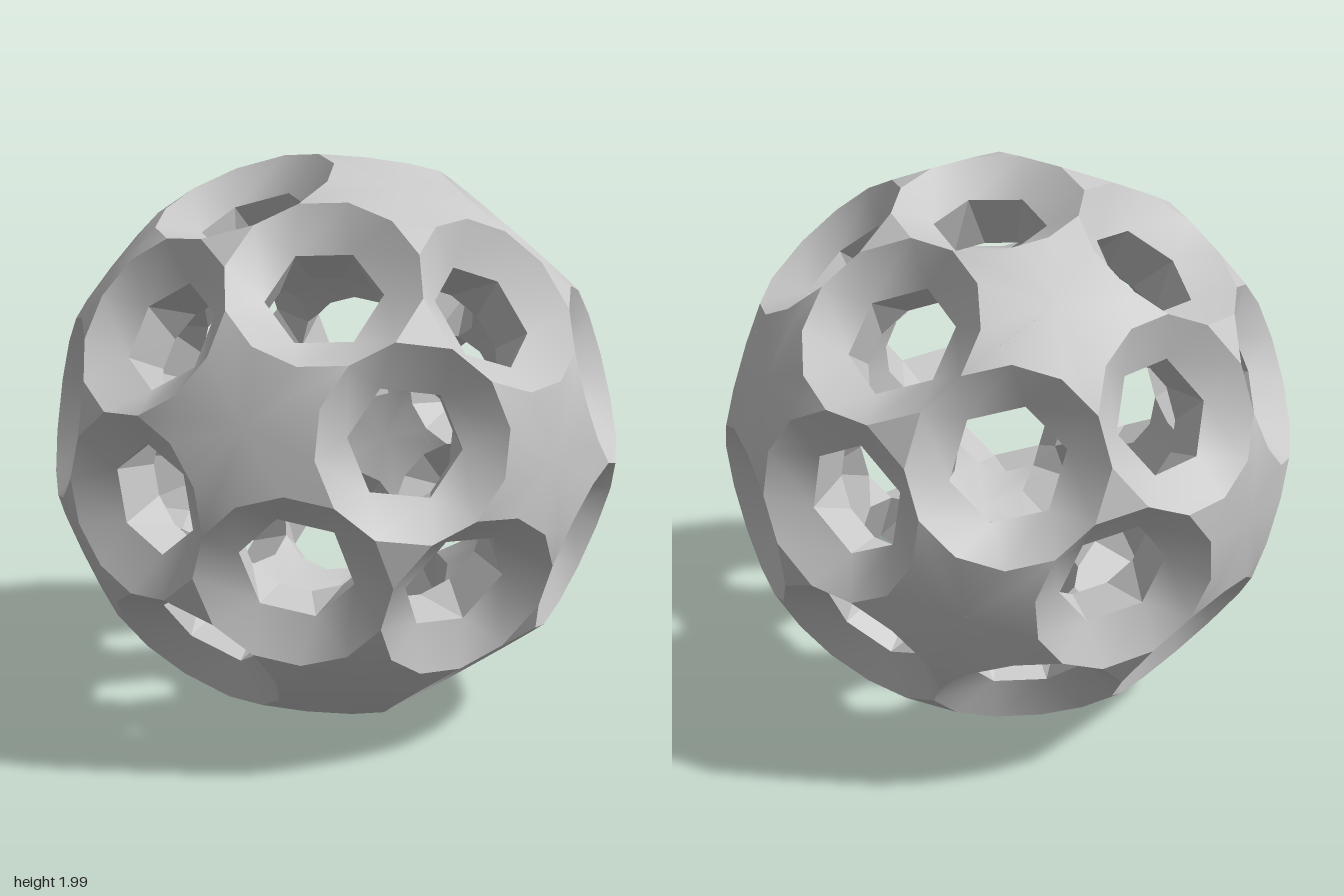
import * as THREE from 'three';
import { toCreasedNormals } from 'three/addons/utils/BufferGeometryUtils.js';

const RAD = Math.PI / 180;
const INNER = 0.7;                         // inner skin scale
const THROAT_R = 0.19, THROAT_H = 0.86;    // hexagonal throat of each hole
const NEIGHBOUR = 58.28;                   // azimuth of touching holes
const DELTA = 15;                          // half width of a touching edge
const CONE = Math.atan(Math.tan(18 * RAD) / Math.cos(DELTA * RAD));

// Collects triangles, each turned to face a given point
class Faces {
  constructor() { this.pos = []; }
  tri(a, b, c, eye) {
    const n = b.clone().sub(a).cross(c.clone().sub(a));
    const mid = a.clone().add(b).add(c).divideScalar(3);
    const order = n.dot(eye.clone().sub(mid)) < 0 ? [a, c, b] : [a, b, c];
    for (const p of order) this.pos.push(p.x, p.y, p.z);
  }
  quad(a, b, c, d, eye) {
    this.tri(a, b, c, eye);
    this.tri(a, c, d, eye);
  }
  mesh(name, material, crease) {
    const g = new THREE.BufferGeometry();
    g.setAttribute('position', new THREE.Float32BufferAttribute(this.pos, 3));
    const m = new THREE.Mesh(toCreasedNormals(g, crease * RAD), material);
    m.name = name;
    m.position.y = 1;
    return m;
  }
}

// Twelve five-fold directions in the tilted frame of the ball
function starDirections() {
  const m = new THREE.Vector3(0.625, 0.188, 0.757).normalize();
  const c = new THREE.Vector3(0.002, 0.970, -0.243);
  c.addScaledVector(m, -c.dot(m)).normalize();
  const d = c.clone().cross(m);
  const phi = (1 + Math.sqrt(5)) / 2, dirs = [];
  for (const s of [1, -1]) for (const t of [phi, -phi])
    for (const [u, v, w] of [[t, s, 0], [s, 0, t], [0, t, s]])
      dirs.push(new THREE.Vector3().addScaledVector(m, u).addScaledVector(d, v)
        .addScaledVector(c, w).normalize());
  return dirs;
}

export function createModel() {
  const group = new THREE.Group();
  group.name = 'perforatedBall';
  const grey = new THREE.MeshStandardMaterial({ color: 0xc8c8c8 });
  grey.name = 'grey';

  const outer = new Faces(), funnels = new Faces(), walls = new Faces(), inner = new Faces();
  const dirs = starDirections();
  const origin = new THREE.Vector3();

  // Rim azimuths of one hole, measured from the direction of a star
  const third = (NEIGHBOUR - DELTA) / 3;
  const half = [-third, third, NEIGHBOUR - DELTA, NEIGHBOUR + DELTA,
    180 - NEIGHBOUR - DELTA, 180 - NEIGHBOUR + DELTA];
  const rimAngles = [...half, ...half.map(a => a + 180)];
  const hexAngles = [0, NEIGHBOUR, 180 - NEIGHBOUR, 180, 180 + NEIGHBOUR, -NEIGHBOUR];

  // One outer plate triangle and its smaller copy on the inner skin
  const skin = (a, b, c) => {
    const mid = a.clone().add(b).add(c);
    outer.tri(a, b, c, mid.multiplyScalar(10));
    inner.tri(...[a, b, c].map(p => p.clone().multiplyScalar(INNER)), origin);
  };

  for (let i = 0; i < 12; i++) for (let j = i + 1; j < 12; j++) {
    if (Math.abs(dirs[i].dot(dirs[j]) - 0.447) > 0.05) continue;

    // Hole axis, with e1 towards one star and e2 towards a triangle
    const axis = dirs[i].clone().add(dirs[j]).normalize();
    const e1 = dirs[i].clone().addScaledVector(axis, -dirs[i].dot(axis)).normalize();
    const e2 = axis.clone().cross(e1);
    const ring = (deg, r, h) => axis.clone().multiplyScalar(h)
      .addScaledVector(e1, r * Math.cos(deg * RAD))
      .addScaledVector(e2, r * Math.sin(deg * RAD));
    const rim = rimAngles.map(a => ring(a, Math.sin(CONE), Math.cos(CONE)));
    const low = rim.map(p => p.clone().multiplyScalar(INNER));
    const hex = hexAngles.map(a => ring(a, THROAT_R, THROAT_H));
    const above = axis.clone().multiplyScalar(1.2);
    const within = axis.clone().multiplyScalar(0.78);

    // Sloping funnel to the throat, then walls down to the inner skin
    for (let k = 0; k < 6; k++) {
      const a = 2 * k, b = a + 1, c = (a + 2) % 12, n = (k + 1) % 6;
      funnels.tri(rim[a], rim[b], hex[k], above);
      funnels.quad(rim[b], rim[c], hex[n], hex[k], above);
      walls.tri(low[a], low[b], hex[k], within);
      walls.quad(low[b], low[c], hex[n], hex[k], within);
    }

    // This hole's share of the two stars: a flat middle and half of two tips
    for (const [star, first] of [[dirs[i], 0], [dirs[j], 6]]) {
      const centre = star.clone().multiplyScalar(0.978);
      skin(centre, rim[first], rim[first + 1]);
      for (const [arc, tip] of [[rim[first], rim[(first + 11) % 12]], [rim[first + 1], rim[first + 2]]]) {
        const out = tip.clone().addScaledVector(star, -tip.dot(star)).normalize();
        const root = star.clone().multiplyScalar(arc.dot(star)).addScaledVector(out, arc.dot(out));
        skin(centre, arc, root);
        skin(arc, tip, root);
      }
    }

    // This hole's share of the two small triangles
    for (const [sign, k] of [[1, 3], [-1, 9]]) {
      const t = axis.clone().multiplyScalar(Math.cos(20.905 * RAD))
        .addScaledVector(e2, sign * Math.sin(20.905 * RAD));
      skin(t.multiplyScalar(t.dot(rim[k])), rim[k], rim[k + 1]);
    }
  }

  group.add(
    outer.mesh('outerStarPlates', grey, 40),
    funnels.mesh('holeFunnels', grey, 32),
    walls.mesh('holeWalls', grey, 12),
    inner.mesh('innerSkin', grey, 40),
  );
  return group;
}
